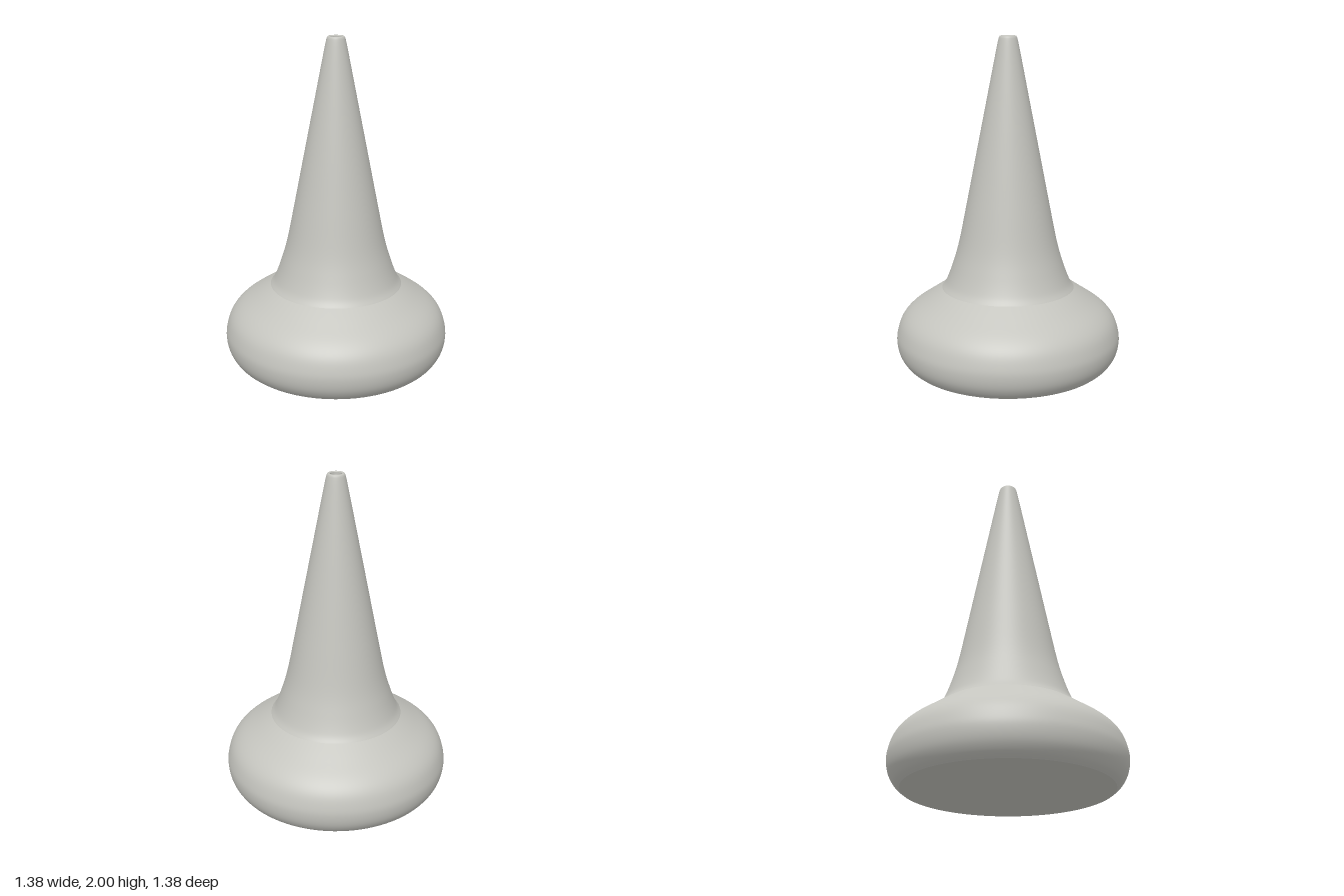
import * as THREE from 'three';

export function createModel() {
  const model = new THREE.Group();
  const grey = new THREE.MeshStandardMaterial({ color: 0xc4c4be });
  grey.name = 'warm grey';

  const vectors = (pairs) => pairs.map(([r, y]) => new THREE.Vector2(r, y));
  const smooth = (pairs, steps) => new THREE.SplineCurve(vectors(pairs)).getPoints(steps);
  const turn = (name, points) => {
    const mesh = new THREE.Mesh(new THREE.LatheGeometry(points, 96), grey);
    mesh.name = name;
    model.add(mesh);
  };

  // flat underside
  turn('underside', vectors([[0, 0], [0.61, 0]]));

  // squashed bulb that the cone rises from
  turn('bulbBase', smooth([
    [0.61, 0], [0.645, 0.03], [0.675, 0.08], [0.688, 0.14], [0.684, 0.2],
    [0.656, 0.28], [0.6, 0.345], [0.5, 0.415], [0.405, 0.478],
  ], 40));

  // flared skirt running into the straight tapered spout
  turn('spout', smooth([
    [0.405, 0.478], [0.378, 0.52], [0.34, 0.62], [0.299, 0.76], [0.25, 1.0],
    [0.199, 1.26], [0.135, 1.585], [0.065, 1.94], [0.051, 1.995],
  ], 50));

  // thin rim and shallow bore with a domed plug inside
  turn('tipRim', vectors([[0.051, 1.995], [0.047, 2], [0.038, 2], [0.035, 1.996]]));
  turn('tipBore', vectors([[0.035, 1.996], [0.035, 1.965]]));
  turn('tipPlug', smooth([[0.035, 1.965], [0.03, 1.979], [0.018, 1.988], [0, 1.992]], 12));

  return model;
}
